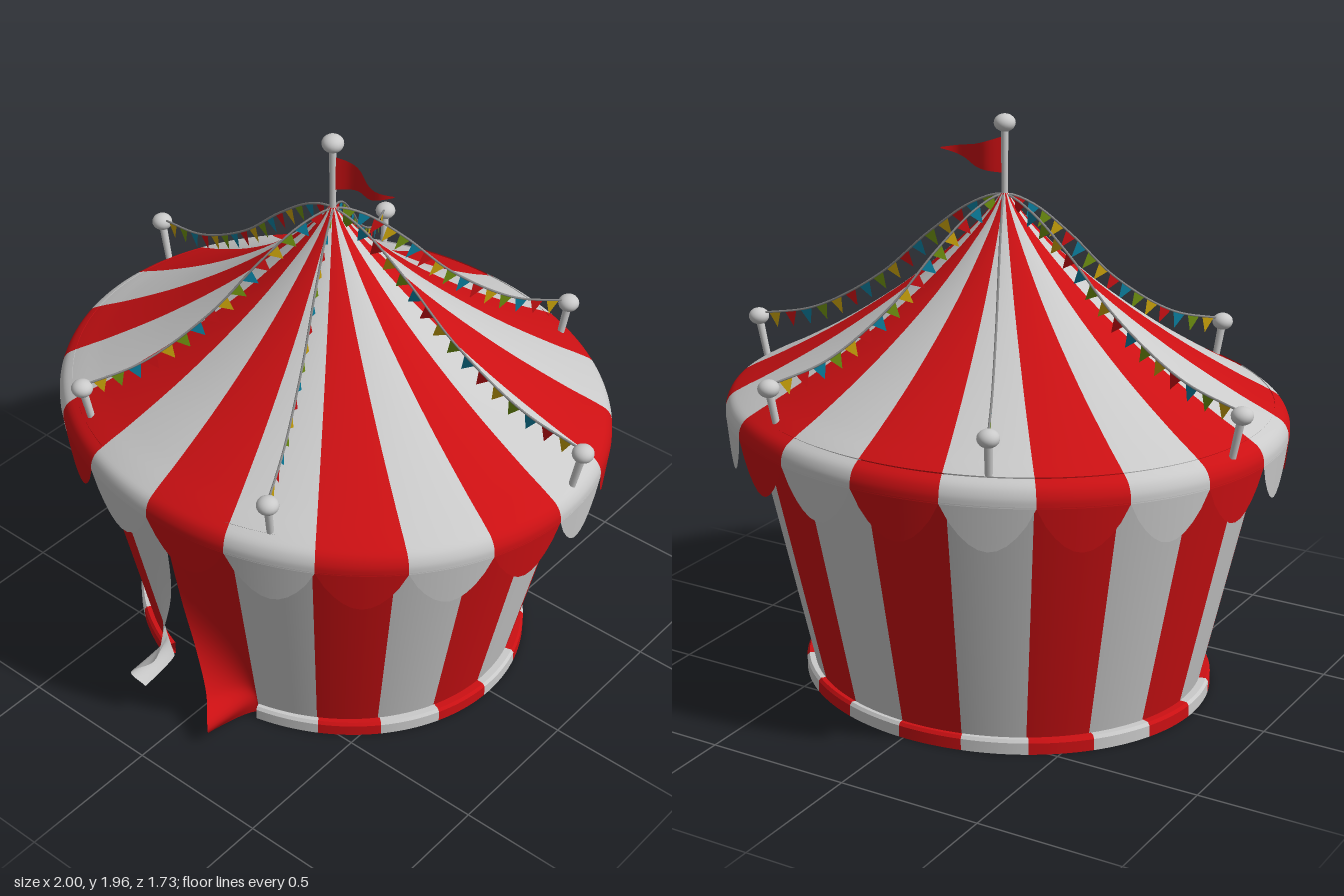
import * as THREE from 'three';
import { mergeGeometries } from 'three/addons/utils/BufferGeometryUtils.js';

const mat = (name, color) => new THREE.MeshStandardMaterial({ name, color, side: THREE.DoubleSide });
const STRIPES = 20, STEP = Math.PI * 2 / STRIPES, START = -2.5 * Math.PI / 180;
const V = (x, y, z) => new THREE.Vector3(x, y, z);

// Grid surface; every `cell` columns form one group, alternating between two materials
function grid(cols, rows, fn, cell = cols, first = 0) {
  const pos = [], idx = [], geo = new THREE.BufferGeometry();
  for (let i = 0; i <= cols; i++)
    for (let j = 0; j <= rows; j++) pos.push(...fn(i / cols, j / rows, j));
  for (let i = 0; i < cols; i++) {
    if (i % cell === 0) geo.addGroup(i * rows * 6, cell * rows * 6, (first + i / cell) % 2);
    for (let j = 0; j < rows; j++) {
      const a = i * (rows + 1) + j, b = a + rows + 1;
      idx.push(a, b, b + 1, a, b + 1, a + 1);
    }
  }
  geo.setAttribute('position', new THREE.Float32BufferAttribute(pos, 3));
  geo.setIndex(idx);
  geo.computeVertexNormals();
  return geo;
}

// Elliptical wall that widens upwards
const WX = -0.015;
const wallA = y => 0.678 + 0.226 * y;
const wallB = y => 0.615 + 0.2 * y;

export function createModel() {
  const group = new THREE.Group();
  const red = mat('red canvas', 0xcc1013);
  const white = mat('white canvas', 0xcacaca);
  const yellow = mat('yellow bunting', 0xc9a20a);
  const green = mat('green bunting', 0x6f9010);
  const blue = mat('blue bunting', 0x0a7f9f);
  const grey = mat('grey rope', 0x8a8a8a);
  const add = (name, geo, material, parent = group) => {
    const m = new THREE.Mesh(geo, material);
    m.name = name;
    parent.add(m);
    return m;
  };
  // Striped band over whole stripes first..first+count
  const band = (name, first, count, rows, fn) => add(name,
    grid(count * 10, rows, (u, v, j) => fn(START + (first + u * count) * STEP, v, j, u * count), 10, first),
    [red, white]);

  // Roof: concave profile from the rim to the peak
  const roofCurve = new THREE.CatmullRomCurve3([
    [1, 0.94], [0.997, 0.97], [0.98, 1.0], [0.94, 1.025], [0.83, 1.08], [0.59, 1.215],
    [0.32, 1.4], [0.12, 1.575], [0.05, 1.65], [0.012, 1.7]].map(([s, y]) => V(s, y, 0)));
  band('roof', 0, STRIPES, 36, (t, v) => {
    const p = roofCurve.getPoint(v);
    return [0.975 * p.x * Math.sin(t) - 0.005, p.y, 0.865 * p.x * Math.cos(t)];
  });

  // Scalloped valance, one scallop per stripe
  band('valance', 0, STRIPES, 6, (t, v, j, n) => {
    const low = 0.94 - 0.15 * Math.pow(Math.abs(Math.sin(n * Math.PI)), 0.8);
    const y = low + (0.945 - low) * v;
    const s = 1 - 0.1 * (0.945 - y);
    return [0.975 * s * Math.sin(t) - 0.005, y, 0.865 * s * Math.cos(t)];
  });

  // Wall, open over the two doorway stripes
  band('wall', 1, STRIPES - 2, 12, (t, v) => {
    const y = 1.025 * v;
    return [WX + wallA(y) * Math.sin(t), y, wallB(y) * Math.cos(t)];
  });

  // Base hem with a bevelled top edge
  const hem = [[-0.04, 0], [0, 0], [0, 0], [0, 0.04], [0, 0.04], [-0.008, 0.05],
    [-0.008, 0.05], [-0.04, 0.05], [-0.04, 0.05], [-0.04, 0]];
  band('baseHem', 1, STRIPES - 2, hem.length - 1, (t, v, j) => {
    const [d, y] = hem[j];
    return [WX + (0.722 + d) * Math.sin(t), y, (0.645 + d) * Math.cos(t)];
  });

  // Door curtains: inner edge given as x, y and outward flare
  const curtain = (name, material, angle, edge) => {
    const curve = new THREE.CatmullRomCurve3(edge.map(p => V(...p)));
    add(name, grid(14, 40, (u, v) => {
      const p = curve.getPoint(1 - v), y = Math.max(0, p.y);
      const a = wallA(y), outer = WX + a * Math.sin(angle);
      const x = outer + (p.x - outer) * u, q = (x - WX) / a;
      return [x, y, wallB(y) * Math.sqrt(1 - q * q) + p.z * u * u];
    }), material);
  };
  curtain('leftCurtain', red, START + STEP, [[-0.045, 1.02, 0], [-0.04, 0.78, 0.015],
    [-0.02, 0.52, 0.035], [0.03, 0.31, 0.07], [0.085, 0.16, 0.125], [0.14, 0.075, 0.21], [0.1, 0, 0.17]]);
  curtain('rightCurtain', white, START - STEP, [[-0.045, 1.02, 0], [-0.045, 0.78, 0.015],
    [-0.07, 0.52, 0.035], [-0.13, 0.31, 0.07], [-0.17, 0.15, 0.125], [-0.25, 0.075, 0.2], [-0.22, 0, 0.17]]);

  // Poles with flattened ball finials
  const pole = (name, foot, top, r) => {
    const g = new THREE.Group();
    g.name = name;
    const dir = top.clone().sub(foot);
    const shaft = add('shaft', new THREE.CylinderGeometry(r, r * 0.85, dir.length(), 12), white, g);
    shaft.position.copy(foot).addScaledVector(dir, 0.5);
    shaft.quaternion.setFromUnitVectors(V(0, 1, 0), dir.normalize());
    const ball = add('ball', new THREE.SphereGeometry(0.036, 20, 14), white, g);
    ball.scale.y = 0.82;
    ball.position.copy(top);
    group.add(g);
  };
  pole('centrePole', V(-0.005, 1.6, 0), V(-0.005, 1.932, 0), 0.012);

  // Three bunting strings, each running post to post over the peak
  const sag = [[1, 1.16], [0.76, 1.215], [0.49, 1.365], [0.29, 1.535], [0.12, 1.655], [0, 1.695]];
  const colours = [yellow, green, blue, red];
  const pennants = colours.map(() => []);
  const strings = [[[-0.962, -0.18], [0.962, -0.07]], [[-0.475, 0.705], [0.45, -0.71]],
    [[-0.395, -0.755], [0.375, 0.755]]];
  for (const ends of strings) {
    const half = ends.map(([x, z]) => sag.map(([s, y]) => V(x * s, y, z * s)));
    const curve = new THREE.CatmullRomCurve3([...half[0], ...half[1].reverse().slice(1)]);
    add('buntingRope', new THREE.TubeGeometry(curve, 70, 0.004, 5), grey);
    for (const [x, z] of ends) pole('rimPost', V(x * 0.968, 1.005, z * 0.968), V(x, 1.15, z), 0.014);
    for (let i = 0; i < 33; i++) {
      const u = 0.03 + 0.94 * i / 32, p = curve.getPointAt(u), along = curve.getTangentAt(u);
      const down = V(0, -1, 0).addScaledVector(along, along.y).normalize();
      const tri = new THREE.BufferGeometry().setFromPoints([
        p.clone().addScaledVector(along, -0.024),
        p.clone().addScaledVector(down, 0.056),
        p.clone().addScaledVector(along, 0.024)]);
      tri.computeVertexNormals();
      pennants[i % 4].push(tri);
    }
  }
  pennants.forEach((list, i) => add('pennants', mergeGeometries(list), colours[i]));

  // Waving flag on the centre pole
  add('flag', grid(20, 4, (u, v) => [
    0.005 + 0.23 * u,
    1.825 - 0.008 * Math.sin(u * Math.PI) + (v - 0.5) * 0.12 * (1 - 0.97 * u),
    -0.012 * u - 0.024 * Math.sin(u * Math.PI * 2)]), red);

  return group;
}
